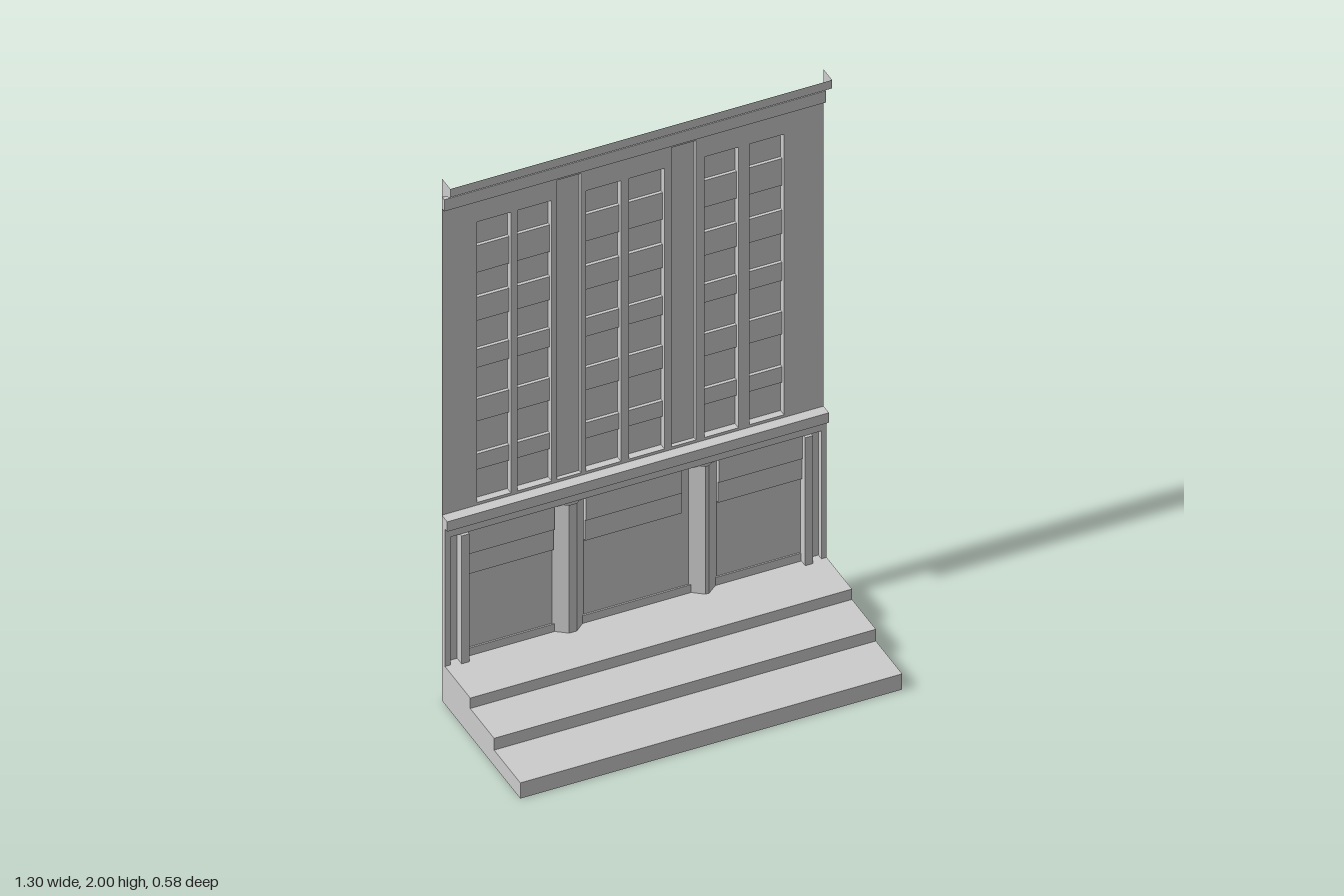
import * as THREE from 'three';

const HALF = 0.65;      // half width of the facade
const WALL = -0.267;    // plane of the wall
const REVEAL = -0.281;  // back of shallow recesses
const GLASS = -0.292;   // back of window recesses
const FRONT = 0.292;    // front of the steps

const stone = new THREE.MeshStandardMaterial({ color: 0xcccccc, side: THREE.DoubleSide });
stone.name = 'grey stone';

function add(parent, name, geometry) {
  const mesh = new THREE.Mesh(geometry, stone);
  mesh.name = name;
  parent.add(mesh);
  return mesh;
}

// Thin-walled box between two corners, leaving out the listed sides
const SIDES = ['+x', '-x', '+y', '-y', '+z', '-z'];
function shell(x0, x1, y0, y1, z0, z1, open = []) {
  const g = new THREE.BoxGeometry(x1 - x0, y1 - y0, z1 - z0);
  g.translate((x0 + x1) / 2, (y0 + y1) / 2, (z0 + z1) / 2);
  const all = Array.from(g.index.array);
  g.setIndex(all.filter((_, i) => !open.includes(SIDES[Math.floor(i / 6)])));
  g.clearGroups();
  return g;
}

function pane(x0, x1, y0, y1, z) {
  return new THREE.PlaneGeometry(x1 - x0, y1 - y0).translate((x0 + x1) / 2, (y0 + y1) / 2, z);
}

// Folded sheet joining two matching rows of points
function fold(a, b) {
  const p = [];
  for (let i = 0; i < a.length - 1; i++) {
    p.push(...a[i], ...a[i + 1], ...b[i + 1], ...a[i], ...b[i + 1], ...b[i]);
  }
  const g = new THREE.BufferGeometry();
  g.setAttribute('position', new THREE.Float32BufferAttribute(p, 3));
  g.computeVertexNormals();
  return g;
}

function rectangle(Type, x0, x1, y0, y1) {
  const s = new Type();
  s.moveTo(x0, y0);
  s.lineTo(x1, y0);
  s.lineTo(x1, y1);
  s.lineTo(x0, y1);
  s.closePath();
  return s;
}

export function createModel() {
  const model = new THREE.Group();
  model.name = 'buildingFacade';

  // Entrance steps, hollow below and behind
  const steps = new THREE.Group();
  steps.name = 'steps';
  model.add(steps);
  [[0, 0.06, FRONT], [0.06, 0.105, 0.105], [0.105, 0.145, -0.065]].forEach(([y0, y1, z]) =>
    add(steps, 'step', shell(-HALF, HALF, y0, y1, WALL, z, ['-y', '-z'])));

  // Upper wall with openings for window columns and flat bays
  const columns = [[-0.53, -0.415], [-0.392, -0.276], [-0.16, -0.04],
    [-0.012, 0.108], [0.245, 0.36], [0.398, 0.515]];
  const bays = [[-0.258, -0.176], [0.132, 0.215]];
  const sill = 0.72, head = 1.795, bayHead = 1.867;
  const wall = rectangle(THREE.Shape, -HALF, HALF, 0.71, 1.885);
  columns.forEach(([a, b]) => wall.holes.push(rectangle(THREE.Path, a, b, sill, head)));
  bays.forEach(([a, b]) => wall.holes.push(rectangle(THREE.Path, a, b, sill, bayHead)));
  add(model, 'upperWall', new THREE.ShapeGeometry(wall).translate(0, 0, WALL));

  bays.forEach(([a, b]) =>
    add(model, 'recessedBay', shell(a, b, sill, bayHead, REVEAL, WALL, ['+z'])));

  // Window columns: shallow reveal, with deeper windows between spandrels
  const rows = [[0.72, 0.835], [0.895, 1.02], [1.105, 1.225],
    [1.295, 1.405], [1.495, 1.59], [1.693, 1.795]];
  columns.forEach(([a, b]) => {
    const column = new THREE.Group();
    column.name = 'windowColumn';
    model.add(column);
    add(column, 'reveal', shell(a, b, sill, head, REVEAL, WALL, ['+z', '-z']));
    rows.forEach(([y0, y1], i) => {
      add(column, 'window', shell(a, b, y0, y1, GLASS, REVEAL, ['+z']));
      if (i < rows.length - 1) add(column, 'spandrel', pane(a, b, y1, rows[i + 1][0], REVEAL));
    });
  });

  // Top band and sloping cornice, open at the back and top
  add(model, 'topBand', shell(-HALF, HALF, 1.885, 1.93, WALL, -0.25, ['-z']));
  const profile = [[WALL, 1.93], [-0.207, 1.968], [-0.207, 2]];
  const row = x => profile.map(([z, y]) => [x, y, z]);
  add(model, 'cornice', fold(row(HALF), row(-HALF)));
  const cap = new THREE.Shape([...profile, [WALL, 2]].map(([z, y]) => new THREE.Vector2(z, y)));
  for (const x of [-HALF, HALF]) {
    add(model, 'corniceEnd', new THREE.ShapeGeometry(cap).rotateY(-Math.PI / 2).translate(x, 0, 0));
  }

  // Ledge and frieze above the ground floor
  add(model, 'ledge', shell(-HALF, HALF, 0.672, 0.71, WALL, -0.229, ['-z']));
  add(model, 'frieze', shell(-HALF, HALF, 0.635, 0.672, WALL, -0.245, ['-z', '+y']));

  // Ground floor wall and base strip
  add(model, 'lowerWall', pane(-HALF, HALF, 0.145, 0.635, WALL));
  add(model, 'baseStrip', shell(-0.57, 0.57, 0.145, 0.175, WALL, -0.262, ['-z']));

  // Lintels over the three entrance bays
  [[-0.57, -0.275], [-0.168, 0.16], [0.285, 0.57]].forEach(([a, b]) => {
    add(model, 'transom', shell(a, b, 0.545, 0.635, WALL, -0.25, ['-z']));
    add(model, 'lintel', shell(a, b, 0.465, 0.545, WALL, -0.255, ['-z']));
  });

  // Faceted columns between the bays
  [[-0.275, -0.232, -0.205, -0.168], [0.19, 0.232, 0.245, 0.285]].forEach(xs => {
    const section = y => xs.map((x, i) => [x, y, i === 0 || i === 3 ? WALL : -0.235]);
    add(model, 'facetedColumn', fold(section(0.635), section(0.145)));
  });

  // Slim posts and edge strips at both ends
  for (const s of [-1, 1]) {
    const x = s * 0.585, e = s * 0.641;
    add(model, 'endPost', shell(x - 0.013, x + 0.013, 0.145, 0.635, WALL, -0.235, ['-z']));
    add(model, 'edgeStrip', shell(e - 0.009, e + 0.009, 0.145, 0.635, WALL, -0.245, ['-z']));
  }

  return model;
}
